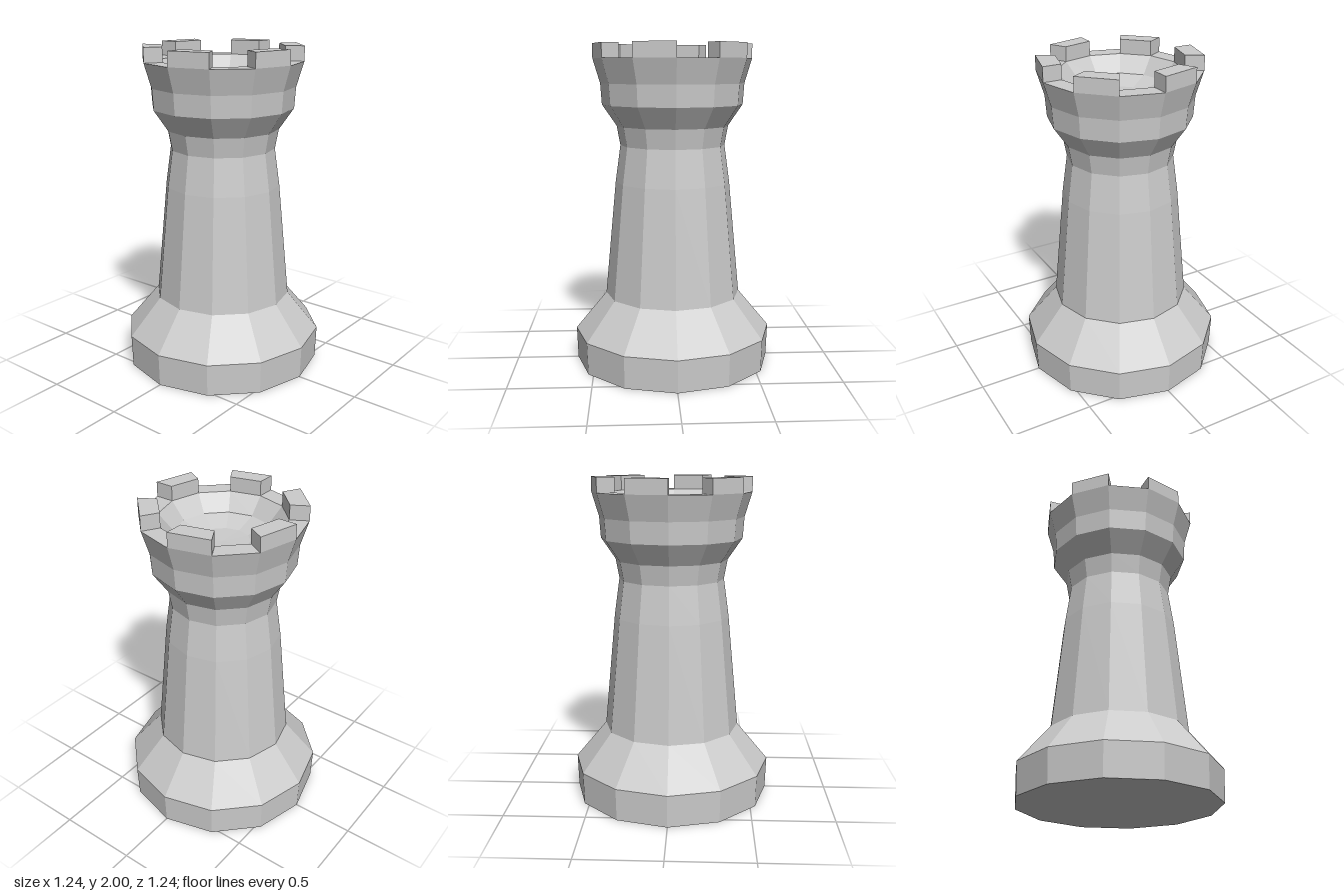
import * as THREE from 'three';

const SIDES = 12;
const STEP = (Math.PI * 2) / SIDES;
const RIM_Y = 1.91, RIM_OUTER = 0.49, RIM_INNER = 0.375;

export function createModel() {
  const material = new THREE.MeshStandardMaterial({ color: 0xcccccc, flatShading: true });
  const group = new THREE.Group();
  group.name = 'rook';

  // Tower: one twelve-sided turned profile, from the underside up and into the hollow top
  const profile = [
    [0, 0], [0.613, 0], [0.62, 0.2],                       // foot
    [0.425, 0.435], [0.357, 1.15], [0.325, 1.38],          // tapering shaft
    [0.347, 1.5], [0.436, 1.63], [0.445, 1.76],            // flared head
    [RIM_OUTER, RIM_Y], [RIM_INNER, RIM_Y],                // rim
    [0.29, 1.81], [0.16, 1.765], [0, 1.76],                // shallow bowl
  ].map(([r, y]) => new THREE.Vector2(r, y));
  const tower = new THREE.Mesh(new THREE.LatheGeometry(profile, SIDES), material);
  tower.name = 'tower';
  group.add(tower);

  // Battlements: a block on every second side of the rim
  const corner = (r, a) => new THREE.Vector2(r * Math.sin(a), -r * Math.cos(a));
  const blockShape = new THREE.Shape([
    corner(RIM_OUTER, 0), corner(RIM_OUTER, STEP),
    corner(RIM_INNER, STEP), corner(RIM_INNER, 0),
  ]);
  const blockGeometry = new THREE.ExtrudeGeometry(blockShape, { depth: 2 - RIM_Y, bevelEnabled: false });
  blockGeometry.rotateX(-Math.PI / 2);

  const battlements = new THREE.Group();
  battlements.name = 'battlements';
  for (let i = 0; i < SIDES; i += 2) {
    const block = new THREE.Mesh(blockGeometry, material);
    block.name = 'battlementBlock';
    block.position.y = RIM_Y;
    block.rotation.y = i * STEP;
    battlements.add(block);
  }
  group.add(battlements);

  return group;
}
